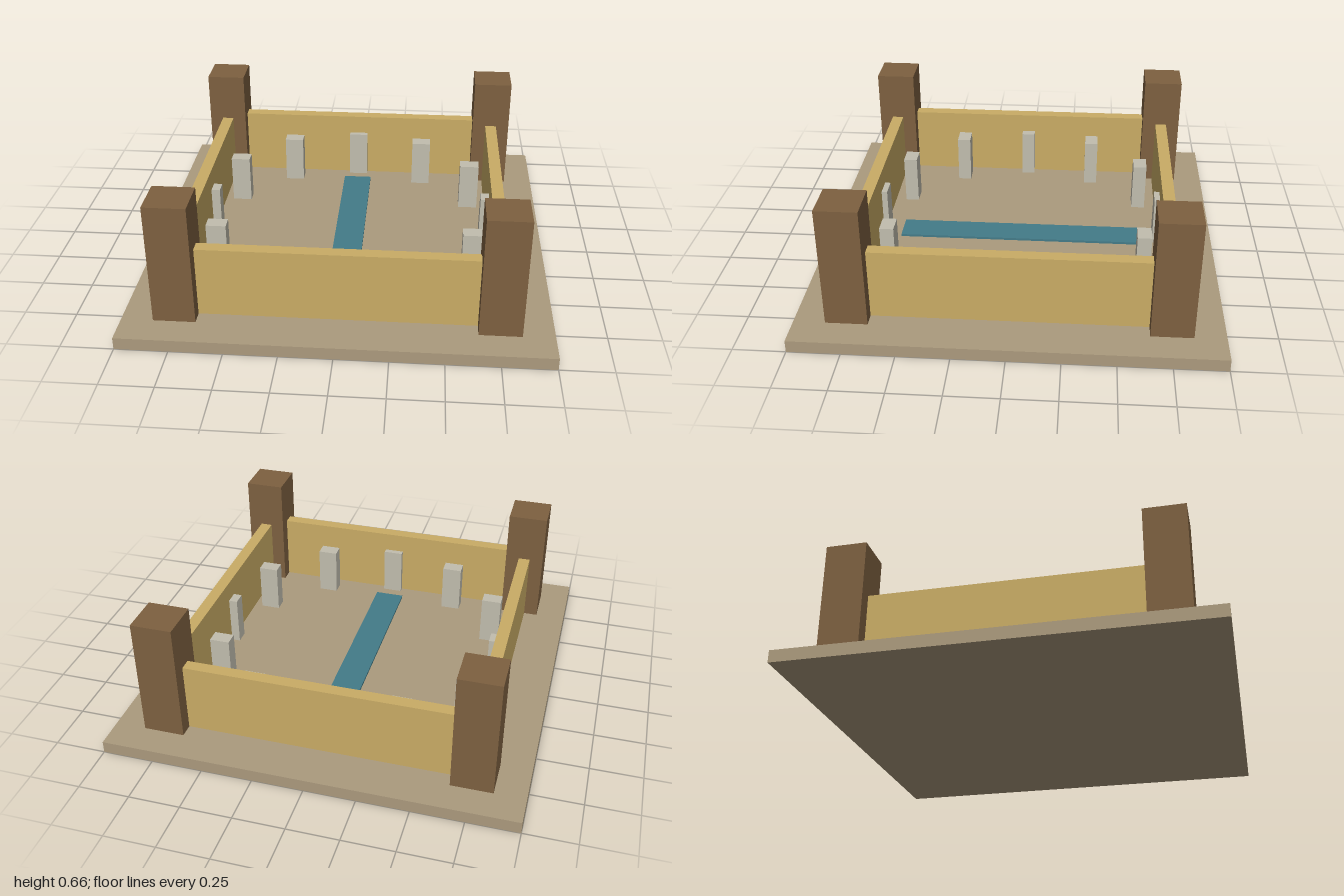
import * as THREE from 'three';

export function createModel() {
  const model = new THREE.Group();
  model.name = 'walledCourtyard';

  const material = (name, color) => {
    const m = new THREE.MeshStandardMaterial({ color });
    m.name = name;
    return m;
  };
  const sand = material('sand', 0xab9a7d);
  const wood = material('darkWood', 0x7d6040);
  const plaster = material('ochre', 0xc9ac65);
  const stone = material('paleStone', 0xc1bdae);
  const water = material('water', 0x437b88);

  const floor = 0.06;

  // Adds a box whose underside rests at height y
  const addBox = (name, mat, [w, h, d], x, y, z) => {
    const mesh = new THREE.Mesh(new THREE.BoxGeometry(w, h, d), mat);
    mesh.name = name;
    mesh.position.set(x, y + h / 2, z);
    model.add(mesh);
  };

  // Base slab and the water channel running front to back
  addBox('base', sand, [2, floor, 2], 0, 0, 0);
  addBox('waterChannel', water, [0.15, 0.012, 1.25], 0, floor, 0);

  // Four walls between the corner posts
  for (const s of [-1, 1]) {
    addBox(s > 0 ? 'frontWall' : 'backWall', plaster, [1.3, 0.35, 0.06], 0, floor, s * 0.75);
    addBox(s > 0 ? 'leftWall' : 'rightWall', plaster, [0.06, 0.35, 1.3], s * 0.75, floor, 0);
    for (const t of [-1, 1]) {
      addBox('cornerPost', wood, [0.2, 0.6, 0.2], s * 0.75, floor, t * 0.75);
    }
  }

  // Ring of twelve standing stones, all facing the same way
  for (let i = 0; i < 12; i++) {
    const a = (i / 12) * Math.PI * 2;
    addBox('standingStone', stone, [0.1, 0.25, 0.07], Math.cos(a) * 0.726, floor, Math.sin(a) * 0.726);
  }

  return model;
}
